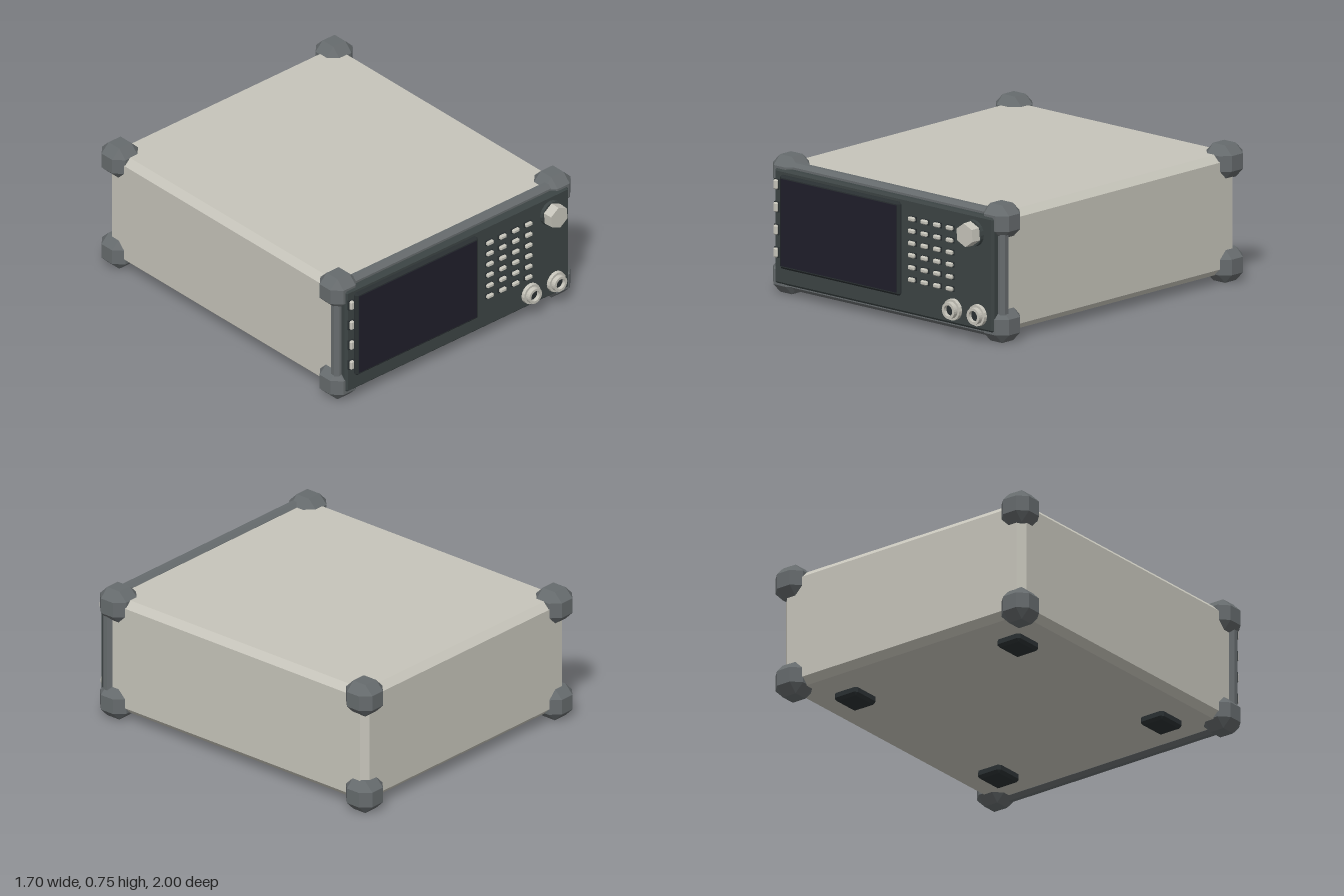
import * as THREE from 'three';
import { ConvexGeometry } from 'three/addons/geometries/ConvexGeometry.js';

const material = (name, color) => {
  const m = new THREE.MeshStandardMaterial({ color });
  m.name = name;
  return m;
};

// Box with every edge cut at 45 degrees, given by its min and max corners
function chamferBox(min, max, c) {
  const half = max.map((v, i) => (v - min[i]) / 2);
  const points = [];
  for (const sx of [-1, 1]) for (const sy of [-1, 1]) for (const sz of [-1, 1]) {
    for (let full = 0; full < 3; full++) {
      const p = [sx, sy, sz].map((s, i) => s * (i === full ? half[i] : half[i] - c));
      points.push(new THREE.Vector3(...p));
    }
  }
  const g = new ConvexGeometry(points);
  g.translate(...max.map((v, i) => (v + min[i]) / 2));
  return g;
}

// Cylinder along z from z0 to z1
function disc(x, y, z0, z1, r0, r1, sides, turn = 0) {
  const g = new THREE.CylinderGeometry(r1, r0, z1 - z0, sides);
  g.rotateX(Math.PI / 2);
  g.rotateZ(turn);
  g.translate(x, y, (z0 + z1) / 2);
  const flat = g.toNonIndexed();
  flat.computeVertexNormals();
  return flat;
}

// Open tube along z with a flat rim
function tube(x, y, z0, z1, r, hole, sides) {
  const shape = new THREE.Shape().absarc(0, 0, r, 0, Math.PI * 2);
  shape.holes.push(new THREE.Path().absarc(0, 0, hole, 0, Math.PI * 2, true));
  const g = new THREE.ExtrudeGeometry(shape, { depth: z1 - z0, bevelEnabled: false, curveSegments: sides });
  return g.translate(x, y, z0);
}

export function createModel() {
  const root = new THREE.Group();
  const shell = material('warm grey shell', 0xc6c4ba);
  const rubber = material('grey bumper', 0x666b6d);
  const dark = material('dark panel', 0x3c4444);
  const black = material('near black rubber', 0x2a3032);
  const glass = material('screen glass', 0x1f1e2a);

  const add = (name, geometry, mat, parent = root) => {
    const mesh = new THREE.Mesh(geometry, mat);
    mesh.name = name;
    parent.add(mesh);
    return mesh;
  };
  const group = (name) => {
    const g = new THREE.Group();
    g.name = name;
    root.add(g);
    return g;
  };

  // Case, front bezel and panel
  add('caseShell', chamferBox([-0.805, 0.045, -0.953], [0.805, 0.702, 0.86], 0.037), shell);
  add('frontBezel', chamferBox([-0.825, 0.025, 0.825], [0.825, 0.722, 0.89], 0.02), rubber);
  add('frontPanel', chamferBox([-0.79, 0.06, 0.87], [0.79, 0.69, 0.927], 0.013), dark);

  // Eight corner bumpers
  const corners = group('cornerBumpers');
  for (const x of [-0.757, 0.757]) for (const y of [0.0925, 0.6575]) for (const z of [-0.9075, 0.824]) {
    const h = 0.0925;
    add('cornerBumper', chamferBox([x - h, y - h, z - h], [x + h, y + h, z + h], 0.05), rubber, corners);
  }

  // Four feet
  const feet = group('feet');
  for (const x of [-0.545, 0.545]) for (const z of [-0.655, 0.575]) {
    add('foot', chamferBox([x - 0.077, 0.003, z - 0.09], [x + 0.077, 0.07, z + 0.09], 0.015), black, feet);
  }

  // Display
  add('screenFrame', chamferBox([-0.735, 0.152, 0.91], [0.13, 0.663, 0.947], 0.012), black);
  const screen = new THREE.BoxGeometry(0.83, 0.475, 0.006);
  screen.translate(-0.303, 0.4075, 0.947);
  add('screen', screen, glass);

  // Keys: dark surround with a raised light cap
  const key = (name, x, y, w, h, parent) => {
    const rim = new THREE.BoxGeometry(w + 0.006, h + 0.006, 0.01);
    rim.translate(x, y, 0.93);
    add(name + 'Surround', rim, black, parent);
    add(name, chamferBox([x - w / 2, y - h / 2, 0.92], [x + w / 2, y + h / 2, 0.95], 0.006), shell, parent);
  };
  const keypad = group('keypad');
  for (let row = 0; row < 6; row++) for (let col = 0; col < 4; col++) {
    key('key', 0.215 + col * 0.091, 0.587 - row * 0.0663, 0.046, 0.024, keypad);
  }
  const sideKeys = group('sideKeys');
  for (let i = 0; i < 4; i++) key('sideKey', -0.763, 0.606 - i * 0.124, 0.026, 0.052, sideKeys);

  // Rotary knob on a dark collar
  const knob = group('knob');
  add('knobCollar', disc(0.652, 0.587, 0.92, 0.945, 0.073, 0.07, 20), dark, knob);
  add('knobCap', disc(0.652, 0.587, 0.94, 1.0, 0.067, 0.064, 6, 0.1), shell, knob);

  // Two round sockets
  for (const x of [0.508, 0.687]) {
    const socket = group('socket');
    add('socketNut', disc(x, 0.145, 0.92, 0.947, 0.06, 0.058, 16), shell, socket);
    add('socketBarrel', tube(x, 0.145, 0.94, 0.973, 0.045, 0.03, 12), shell, socket);
    add('socketCore', disc(x, 0.145, 0.94, 0.952, 0.031, 0.031, 16), black, socket);
  }
  return root;
}
